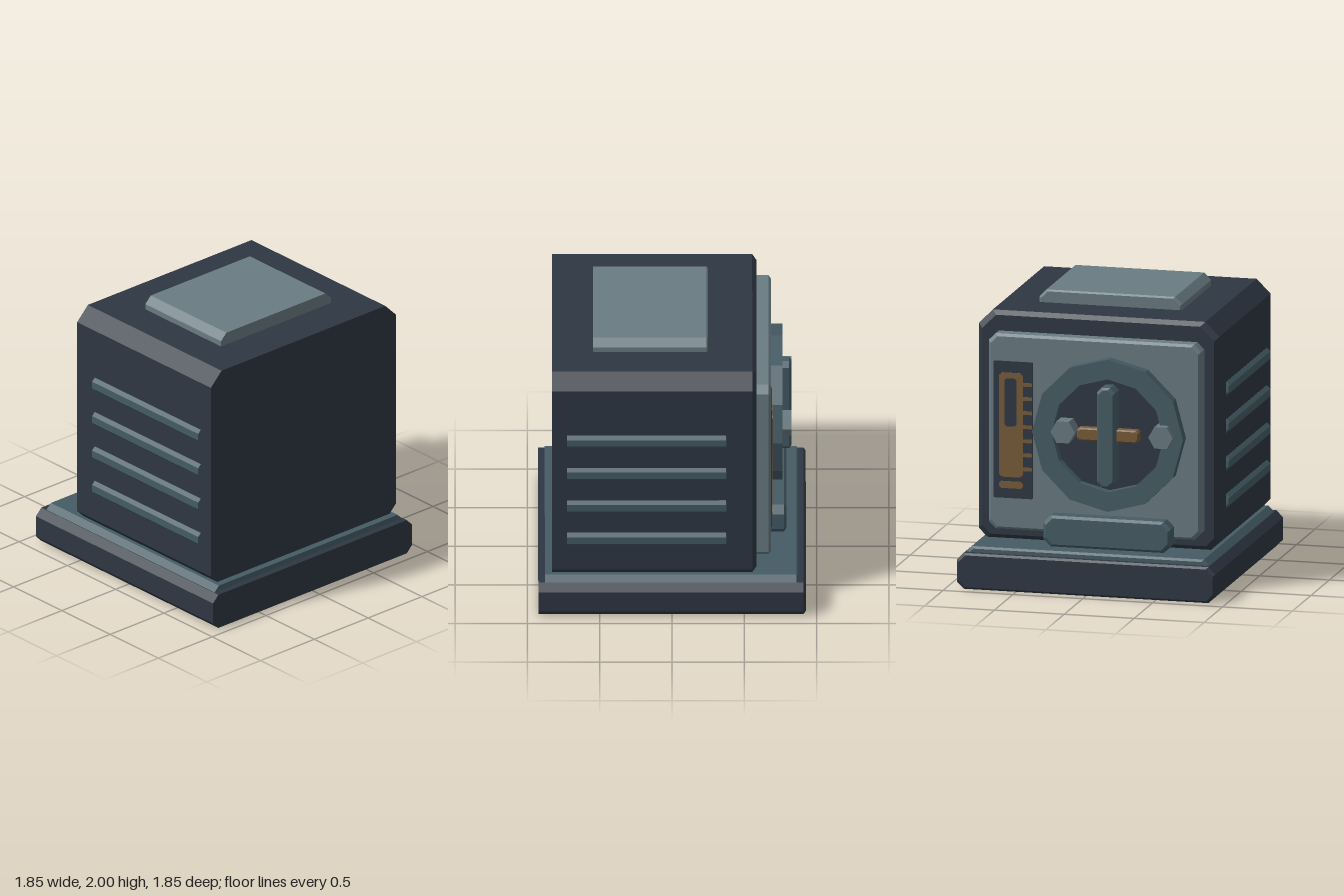
import * as THREE from 'three';

const material = (name, color) => {
  const m = new THREE.MeshStandardMaterial({ color });
  m.name = name;
  return m;
};

// Block with chamfered long edges, lofted along z, with an optional bevel at its back end
function block([x0, x1], [y0, y1], [zBack, zFront], top, bottom = top, bevel = 0) {
  const section = (z, i) => {
    const l = x0 + i, r = x1 - i, b = y0 + i, t = y1 - i;
    return [[l + bottom, b], [r - bottom, b], [r, b + bottom], [r, t - top],
      [r - top, t], [l + top, t], [l, t - top], [l, b + bottom]].map(([x, y]) => [x, y, z]);
  };
  const rings = [section(zFront, 0), section(zBack + bevel, 0)];
  if (bevel) rings.push(section(zBack, bevel));
  const p = [];
  const tri = (a, b, c) => p.push(...a, ...b, ...c);
  for (let k = 0; k < rings.length - 1; k++) {
    const f = rings[k], g = rings[k + 1];
    for (let i = 0; i < 8; i++) {
      const j = (i + 1) % 8;
      tri(f[i], g[i], g[j]);
      tri(f[i], g[j], f[j]);
    }
  }
  const front = rings[0], back = rings[rings.length - 1];
  for (let i = 1; i < 7; i++) {
    tri(front[0], front[i], front[i + 1]);
    tri(back[0], back[i + 1], back[i]);
  }
  const geo = new THREE.BufferGeometry();
  geo.setAttribute('position', new THREE.Float32BufferAttribute(p, 3));
  geo.computeVertexNormals();
  return geo;
}

const polygon = (radius, sides) => Array.from({ length: sides }, (_, i) => {
  const a = (i / sides) * Math.PI * 2;
  return new THREE.Vector2(Math.cos(a) * radius, Math.sin(a) * radius);
});

export function createModel() {
  const dark = material('dark steel', 0x2e3743);
  const teal = material('teal steel', 0x455b65);
  const grey = material('pale grey metal', 0x697b82);
  const amber = material('dull amber', 0x775c3a);
  for (const m of [dark, teal, grey, amber]) m.flatShading = true;

  const model = new THREE.Group();
  model.name = 'vault';
  const add = (name, geo, mat, x = 0, y = 0, z = 0) => {
    const mesh = new THREE.Mesh(geo, mat);
    mesh.name = name;
    mesh.position.set(x, y, z);
    model.add(mesh);
    return mesh;
  };

  // Plinth, trim, cabinet and lid
  add('base', block([-0.925, 0.925], [0, 0.255], [-0.925, 0.925], 0.05, 0.05, 0.015), dark);
  add('baseTrim', block([-0.875, 0.875], [0.2, 0.295], [-0.875, 0.88], 0.045, 0.02, 0.015), teal);
  add('body', block([-0.86, 0.86], [0.295, 1.91], [-0.585, 0.83], 0.1, 0.06, 0.03), dark);
  add('topPlate', block([-0.51, 0.51], [1.86, 2], [-0.25, 0.545], 0.05, 0.02, 0.012), grey);

  // Ribs on both sides
  for (const side of [-1, 1]) {
    for (let i = 0; i < 4; i++) {
      const y = 0.605 + i * 0.265;
      const xs = [0.8, 0.885].map(x => x * side).sort((a, b) => a - b);
      add('sideRib', block(xs, [y - 0.05, y + 0.05], [-0.38, 0.727], 0.024, 0.024, 0.008), teal);
    }
  }

  // Back door panel and the step beneath it
  add('doorPanel', block([-0.76, 0.76], [0.385, 1.77], [-0.685, -0.57], 0.05, 0.05, 0.018), grey);
  add('doorStep', block([-0.57, 0.34], [0.305, 0.525], [-0.792, -0.62], 0.05, 0.05, 0.018), teal);

  // Round lock: ring, recessed disc, crossbars and studs
  const cx = -0.115, cy = 1.11;
  const ring = new THREE.Shape(polygon(0.54, 12));
  ring.holes.push(new THREE.Path(polygon(0.4, 12).reverse()));
  add('lockRing', new THREE.ExtrudeGeometry(ring, { depth: 0.085, bevelEnabled: false }),
    teal, cx, cy, -0.765);
  add('lockDisc', new THREE.ExtrudeGeometry(new THREE.Shape(polygon(0.41, 12)),
    { depth: 0.02, bevelEnabled: false }), dark, cx, cy, -0.7);
  add('crossBar', block([cx - 0.22, cx + 0.22], [cy - 0.045, cy + 0.045], [-0.765, -0.69],
    0.015, 0.015, 0.01), amber);
  add('handleBar', block([cx - 0.065, cx + 0.065], [0.75, 1.46], [-0.825, -0.69],
    0.035, 0.035, 0.015), teal);
  for (const x of [-0.51, 0.19]) {
    add('lockStud', new THREE.ExtrudeGeometry(new THREE.Shape(polygon(0.088, 6)),
      { depth: 0.13, bevelEnabled: false }), grey, x, 1.13, -0.825);
  }

  // Gauge beside the lock, built from thin plates
  const plate = (name, [x0, x1], [y0, y1], z, mat, c = 0.005) =>
    add(name, block([x0, x1], [y0, y1], [z, z + 0.006], c), mat);
  plate('gaugePlate', [0.44, 0.72], [0.61, 1.58], -0.69, dark);
  plate('gaugeStrip', [0.51, 0.68], [0.76, 1.5], -0.694, amber, 0.02);
  plate('gaugeSlot', [0.555, 0.64], [1.12, 1.46], -0.698, dark, 0.015);
  plate('gaugeFoot', [0.51, 0.68], [0.68, 0.73], -0.694, amber, 0.015);
  for (let i = 0; i < 7; i++) {
    const y = 0.82 + i * 0.1;
    plate('gaugeTick', [0.445, 0.515], [y - 0.013, y + 0.013], -0.694, amber, 0.003);
  }
  return model;
}
